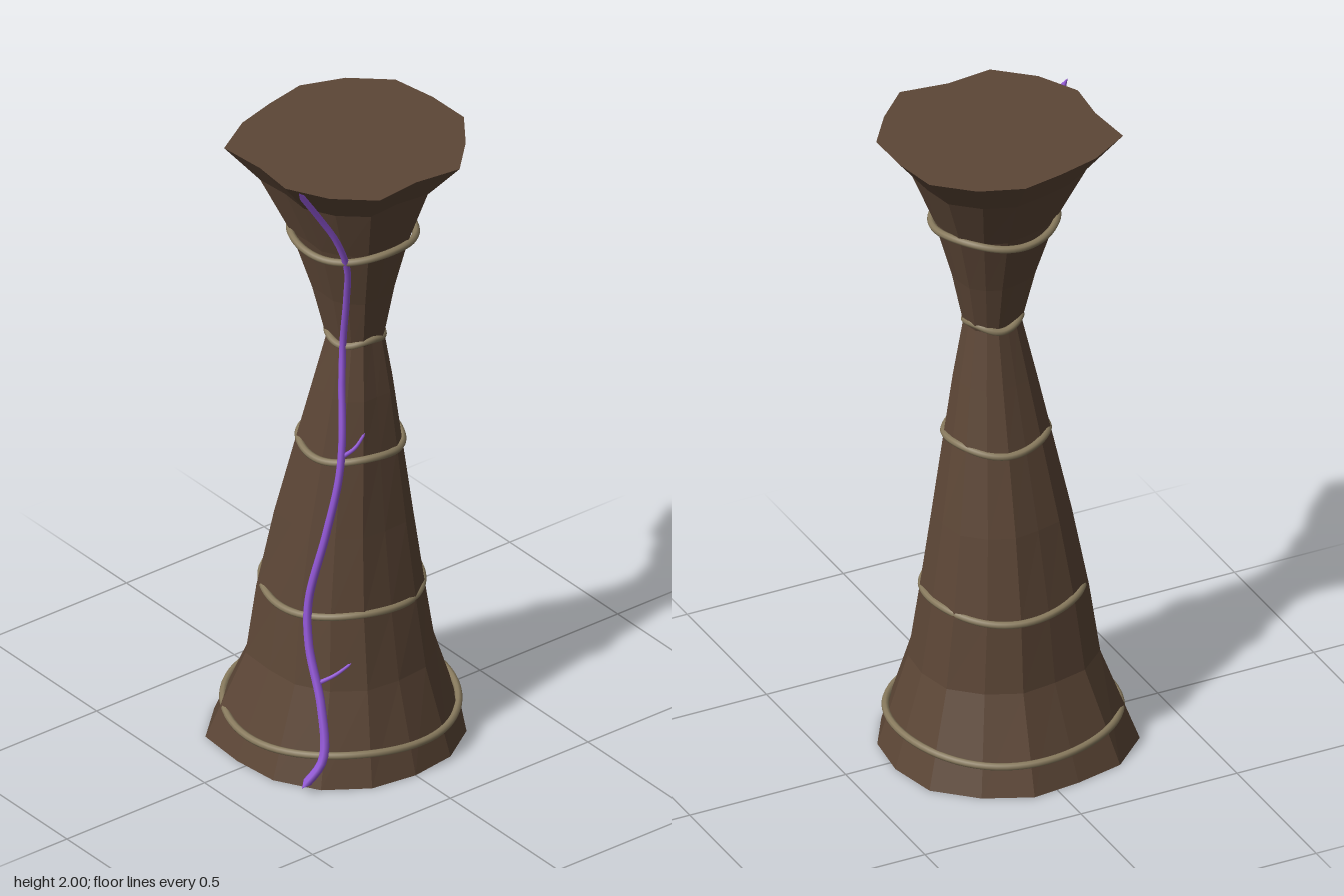
import * as THREE from 'three';

const SIDES = 15;
// Trunk profile: height, centre x, radius
const PROFILE = [
  [0, 0, 0.352], [0.28, 0.015, 0.258], [0.5, 0.01, 0.228], [0.75, 0.02, 0.188], [1.0, 0.04, 0.144],
  [1.18, 0.055, 0.112], [1.35, 0.065, 0.079], [1.51, 0.06, 0.112], [1.7, 0.053, 0.165],
  [1.87, 0.035, 0.235], [1.985, 0.035, 0.33],
];
// Rim radius of each corner, at the foot and at the crown
const FOOT = [0.34, 0.35, 0.355, 0.355, 0.355, 0.395, 0.38, 0.35, 0.366, 0.365, 0.378, 0.362, 0.36, 0.356, 0.35];
const CROWN = [0.305, 0.35, 0.335, 0.33, 0.303, 0.363, 0.32, 0.3, 0.326, 0.335, 0.35, 0.33, 0.347, 0.332, 0.355];

function trunkGeometry() {
  const pos = [], index = [];
  PROFILE.forEach(([y, cx, r]) => {
    const t = y / 1.985;
    for (let i = 0; i < SIDES; i++) {
      const a = (i / SIDES) * Math.PI * 2;
      const rr = r * THREE.MathUtils.lerp(FOOT[i] / 0.352, CROWN[i] / 0.33, t);
      pos.push(cx + rr * Math.cos(a), y, rr * Math.sin(a));
    }
  });
  const last = PROFILE.length - 1;
  for (let k = 0; k < last; k++) {
    for (let i = 0; i < SIDES; i++) {
      const a = k * SIDES + i, b = k * SIDES + (i + 1) % SIDES;
      index.push(a, a + SIDES, b, b, a + SIDES, b + SIDES);
    }
  }
  // Flat caps
  const foot = pos.length / 3, crown = foot + 1, top = last * SIDES;
  pos.push(0, 0, 0, PROFILE[last][1], PROFILE[last][0], 0);
  for (let i = 0; i < SIDES; i++) {
    const j = (i + 1) % SIDES;
    index.push(foot, i, j, crown, top + j, top + i);
  }
  const g = new THREE.BufferGeometry();
  g.setAttribute('position', new THREE.Float32BufferAttribute(pos, 3));
  g.setIndex(index);
  const flat = g.toNonIndexed();
  flat.computeVertexNormals();
  return flat;
}

const curveOf = (pts, closed = false) =>
  new THREE.CatmullRomCurve3(pts.map((p) => new THREE.Vector3(...p)), closed);

// Tube that narrows from r0 to r1 along its length, with closed ends
function taperedTube(pts, segs, r0, r1) {
  const curve = curveOf(pts), sides = 7;
  const g = new THREE.TubeGeometry(curve, segs, 1, sides);
  const p = g.attributes.position, v = new THREE.Vector3();
  for (let i = 0; i < p.count; i++) {
    const t = Math.floor(i / (sides + 1)) / segs;
    const c = curve.getPointAt(t);
    const r = t === 0 || t === 1 ? 0.0005 : THREE.MathUtils.lerp(r0, r1, t);
    v.fromBufferAttribute(p, i).sub(c).multiplyScalar(r).add(c);
    p.setXYZ(i, v.x, v.y, v.z);
  }
  return g;
}

export function createModel() {
  const model = new THREE.Group();
  model.name = 'boundTrunk';
  const material = (name, color) => {
    const m = new THREE.MeshStandardMaterial({ color });
    m.name = name;
    return m;
  };
  const bark = material('bark brown', 0x5c4636);
  const rope = material('rope tan', 0x897b5e);
  const violet = material('vine violet', 0x9358d8);
  const add = (name, geometry, mat) => {
    const mesh = new THREE.Mesh(geometry, mat);
    mesh.name = name;
    model.add(mesh);
  };

  add('trunk', trunkGeometry(), bark);

  // Wavy rope bands: height, centre x, radius
  [[0.1, -0.003, 0.337], [0.505, 0.002, 0.231], [0.995, 0.042, 0.149],
    [1.358, 0.063, 0.08], [1.695, 0.053, 0.181]].forEach(([y, cx, r], n) => {
    const pts = [];
    for (let i = 0; i < 24; i++) {
      const a = (i / 24) * Math.PI * 2;
      pts.push([cx + r * Math.cos(a), y + 0.008 * Math.sin(3 * a + n * 0.4), 0.003 + r * Math.sin(a)]);
    }
    add('ropeBand' + (n + 1), new THREE.TubeGeometry(curveOf(pts, true), 72, 0.011, 8, true), rope);
  });

  // Climbing vine and its two sprigs
  add('vine', taperedTube([
    [0.222, 0.02, 0.32], [0.24, 0.1, 0.26], [0.2, 0.25, 0.234], [0.133, 0.42, 0.226], [0.113, 0.55, 0.212],
    [0.14, 0.77, 0.17], [0.156, 0.95, 0.136], [0.148, 1.07, 0.117], [0.116, 1.24, 0.093],
    [0.105, 1.37, 0.08], [0.14, 1.53, 0.095], [0.18, 1.67, 0.125], [0.19, 1.78, 0.17],
    [0.19, 1.87, 0.225], [0.195, 1.995, 0.31],
  ], 90, 0.014, 0.009), violet);
  add('lowerSprig', taperedTube([[0.17, 0.31, 0.226], [0.21, 0.345, 0.19], [0.24, 0.385, 0.155]], 12, 0.007, 0.004), violet);
  add('upperSprig', taperedTube([[0.152, 1.02, 0.122], [0.18, 1.055, 0.095], [0.192, 1.1, 0.068]], 12, 0.007, 0.004), violet);

  return model;
}
